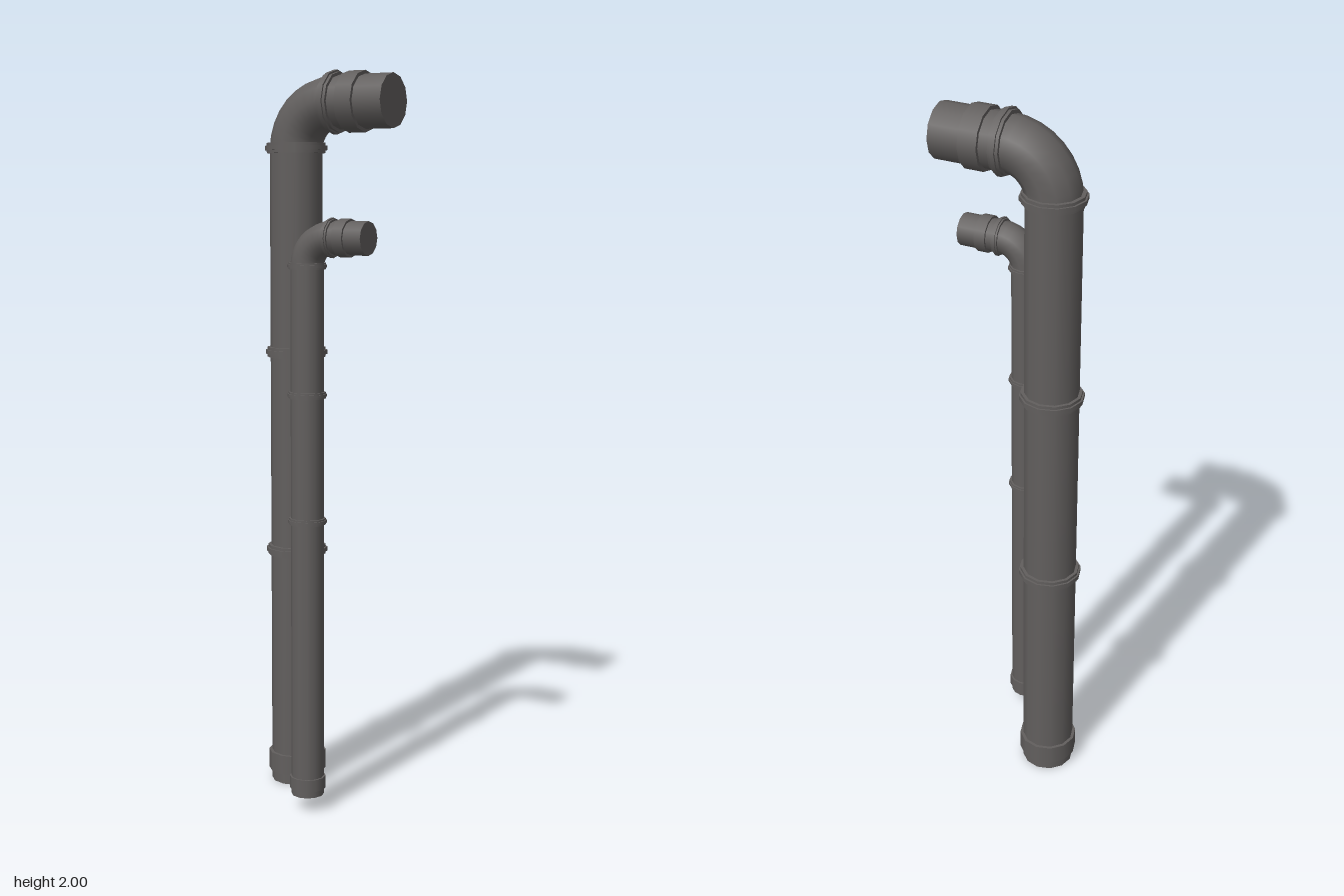
import * as THREE from 'three';

const pipeGrey = new THREE.MeshStandardMaterial({ color: 0x625f5e });
pipeGrey.name = 'pipeGrey';
const SIDES = 12;

// Cylinder along local y between two heights
function sleeve(parent, name, radius, from, to, endRadius = radius) {
  const geo = new THREE.CylinderGeometry(endRadius, radius, to - from, SIDES);
  const mesh = new THREE.Mesh(geo, pipeGrey);
  mesh.name = name;
  mesh.position.y = (from + to) / 2;
  parent.add(mesh);
}

// Stepped joint ring: wide low collar with a narrow raised band
function jointRing(parent, y, s) {
  const ring = new THREE.Group();
  ring.name = 'jointRing';
  ring.position.y = y;
  sleeve(ring, 'ringCollar', 0.081 * s, -0.014 * s, 0.014 * s);
  sleeve(ring, 'ringBand', 0.086 * s, -0.006 * s, 0.006 * s);
  parent.add(ring);
}

// Upright pipe with a quarter bend towards +x and a short spout
function drainPipe(name, s, x, z, bottom, axisTop, rings) {
  const pipe = new THREE.Group();
  pipe.name = name;
  pipe.position.set(x, 0, z);
  const r = 0.0725 * s, bend = 0.125 * s;

  // Upright
  sleeve(pipe, 'uprightPipe', r, bottom, axisTop - bend);
  sleeve(pipe, 'footSocket', 0.081 * s, bottom + 0.03 * s, bottom + 0.085 * s);
  rings.forEach((y) => jointRing(pipe, y, s));

  // Elbow
  const elbow = new THREE.Mesh(new THREE.TorusGeometry(bend, r, SIDES, 8, Math.PI / 2), pipeGrey);
  elbow.name = 'elbow';
  elbow.rotation.z = Math.PI / 2;
  elbow.position.set(bend, axisTop - bend, 0);
  pipe.add(elbow);

  // Spout
  const spout = new THREE.Group();
  spout.name = 'spout';
  spout.position.set(bend, axisTop, 0);
  spout.rotation.z = -Math.PI / 2;
  sleeve(spout, 'spoutPipe', r, 0, 0.182 * s);
  sleeve(spout, 'spoutSocket', 0.082 * s, 0.045 * s, 0.096 * s);
  jointRing(spout, 0.002 * s, s);
  pipe.add(spout);
  return pipe;
}

export function createModel() {
  const model = new THREE.Group();
  model.name = 'drainPipes';
  model.add(drainPipe('largePipe', 1, -0.132, -0.081, 0, 1.915, [0.675, 1.235, 1.795]));
  model.add(drainPipe('smallPipe', 0.61, 0.029, 0.114, 0.042, 1.558, [0.803, 1.143, 1.484]));
  return model;
}
